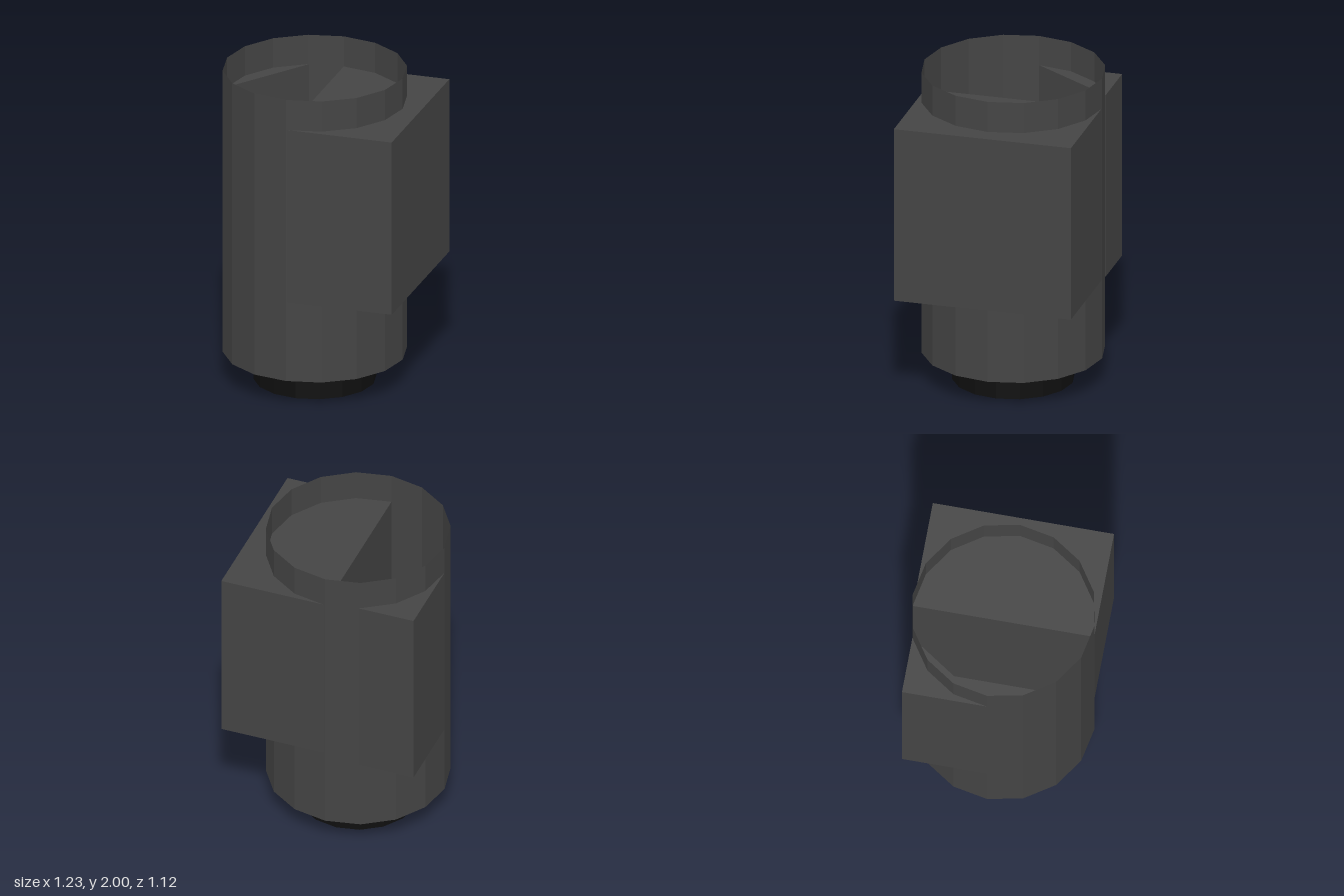
import * as THREE from 'three';

const SIDES = 16;
const AXIS_X = -0.057; // x of the tube's axis
const RADIUS = 0.558;

const material = (color) =>
  new THREE.MeshStandardMaterial({ color, flatShading: true, side: THREE.DoubleSide });

export function createModel() {
  const group = new THREE.Group();
  const bodyMat = material(0x444444);
  const plugMat = material(0x0f0f0f);

  const add = (name, geometry, mat, x = 0, y = 0, z = 0) => {
    const mesh = new THREE.Mesh(geometry, mat);
    mesh.name = name;
    mesh.position.set(x, y, z);
    group.add(mesh);
    return mesh;
  };

  // Thin-walled tube, open at the top
  add('bodyTube', new THREE.CylinderGeometry(RADIUS, RADIUS, 1.82, SIDES, 1, true), bodyMat, AXIS_X, 1.09);

  // Floor closing the tube's lower end
  const floor = new THREE.CircleGeometry(RADIUS, SIDES).rotateX(-Math.PI / 2);
  add('bodyFloor', floor, bodyMat, AXIS_X, 0.18);

  // Narrow plug below the body
  add('basePlug', new THREE.CylinderGeometry(0.372, 0.372, 0.178, SIDES), plugMat, AXIS_X, 0.089);

  // Large block, from the tube's axis out to the side
  add('sideBlock', new THREE.BoxGeometry(0.672, 1.115, 1.112), bodyMat, 0.279, 1.2475, 0);

  // Triangular corner filling out the back of the tube (shape y becomes -z)
  const corner = new THREE.Shape([
    new THREE.Vector2(-0.615, 0),
    new THREE.Vector2(-0.26, 0.522),
    new THREE.Vector2(-0.615, 0.522),
  ]);
  const wedge = new THREE.ExtrudeGeometry(corner, { depth: 1.18, bevelEnabled: false }).rotateX(-Math.PI / 2);
  add('cornerWedge', wedge, bodyMat, 0, 0.63, 0);

  return group;
}
